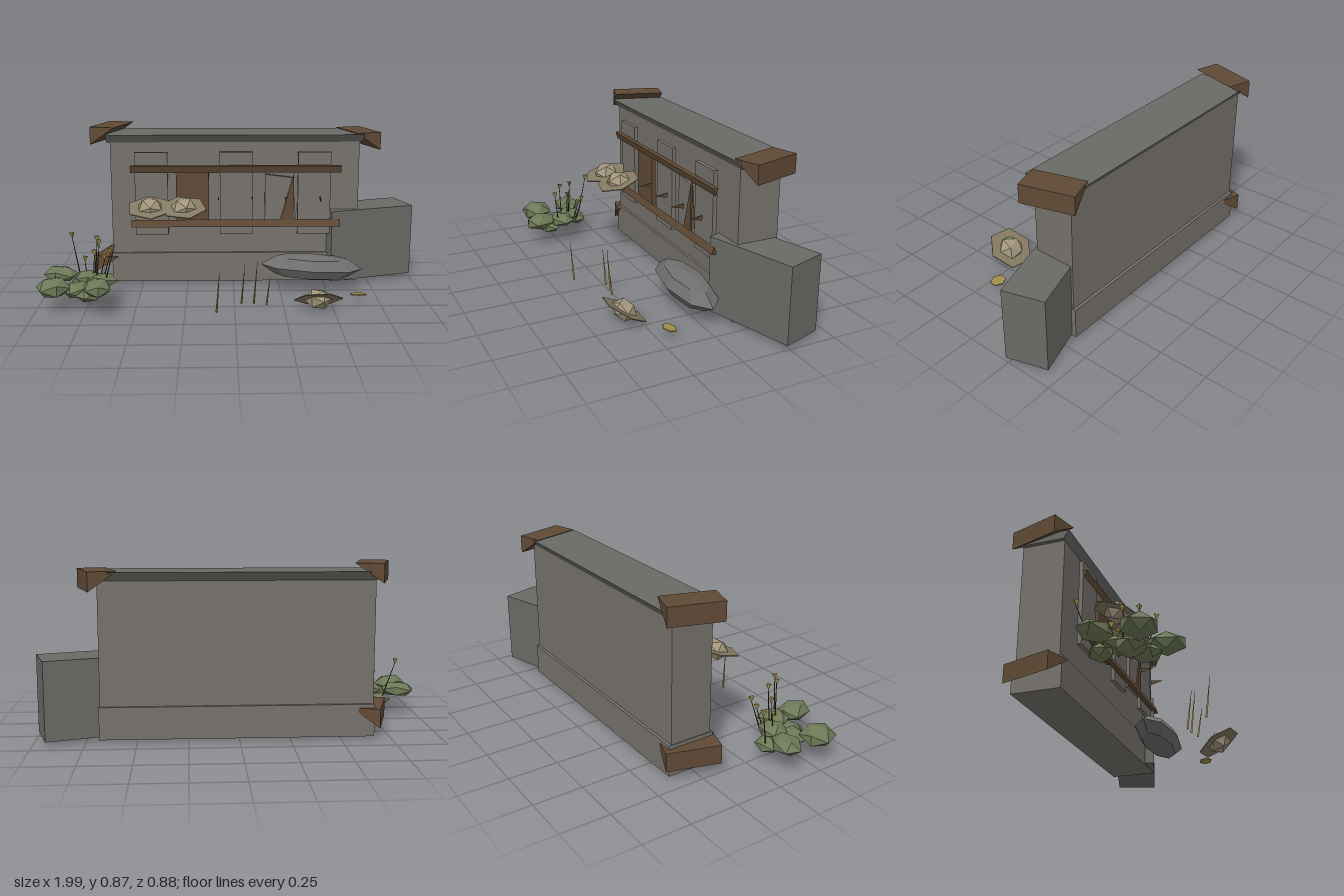
import * as THREE from 'three';

export function createModel() {
  const model = new THREE.Group();
  const mat = (name, color, extra = {}) => {
    const m = new THREE.MeshStandardMaterial({ color, flatShading: true, ...extra });
    m.name = name;
    return m;
  };
  const both = { side: THREE.DoubleSide };
  const wallGrey = mat('wall grey', 0x76726d);
  const stoneGrey = mat('stone grey', 0x6a6b65);
  const rockGrey = mat('rock grey', 0x706f6f);
  const woodBrown = mat('wood brown', 0x604a36, both);
  const strawTan = mat('straw tan', 0xa2967c);
  const brimTan = mat('brim tan', 0x857a62, both);
  const leafGreen = mat('leaf green', 0x6e7857);
  const stemGreen = mat('stem green', 0x3f4430);
  const flowerGold = mat('flower gold', 0xa08f4a, both);

  const add = (name, geo, material, pos = [0, 0, 0], parent = model) => {
    const mesh = new THREE.Mesh(geo, material);
    mesh.name = name;
    mesh.position.set(...pos);
    parent.add(mesh);
    return mesh;
  };
  // box given by its extents
  const box = (name, material, x0, x1, y0, y1, z0, z1) =>
    add(name, new THREE.BoxGeometry(x1 - x0, y1 - y0, z1 - z0), material,
      [(x0 + x1) / 2, (y0 + y1) / 2, (z0 + z1) / 2]);
  // prism with a 2D section, centred along its own z
  const prism = (points, length) => {
    const shape = new THREE.Shape(points.map(p => new THREE.Vector2(...p)));
    return new THREE.ExtrudeGeometry(shape, { depth: length, bevelEnabled: false })
      .translate(0, 0, -length / 2);
  };
  // thin tapering rod between two points
  const rod = (name, material, a, b, r0, r1) => {
    const from = new THREE.Vector3(...a), dir = new THREE.Vector3(...b).sub(from);
    const geo = new THREE.CylinderGeometry(r1, r0, dir.length(), 3);
    const mesh = add(name, geo, material, from.clone().addScaledVector(dir, 0.5).toArray());
    mesh.quaternion.setFromUnitVectors(new THREE.Vector3(0, 1, 0), dir.normalize());
    return mesh;
  };

  // wall, plinth, flared cap
  box('wall', wallGrey, -0.66, 0.68, 0.01, 0.79, -0.37, -0.15);
  box('plinth', wallGrey, -0.665, 0.685, 0.01, 0.172, -0.385, -0.137);
  const cap = add('wallCap', prism([[-0.11, 0], [0.11, 0], [0.14, 0.042], [-0.14, 0.042]], 1.38),
    stoneGrey, [0.01, 0.783, -0.26]);
  cap.rotation.y = Math.PI / 2;

  // angled side block
  const block = add('sideBlock', new THREE.BoxGeometry(0.49, 0.393, 0.215), stoneGrey, [0.734, 0.215, -0.263]);
  block.rotation.y = 0.307;

  // wedge ornaments on the corners
  const wedge = (side, x, y, z) => {
    const pts = [[-0.07, 0.048], [-0.07, -0.048], [0.07, 0.048]].map(p => [p[0] * -side, p[1]]);
    add('cornerWedge', prism(pts, 0.27), woodBrown, [x, y, z]).rotation.y = 0.3 * side;
  };
  wedge(-1, -0.66, 0.817, -0.267);
  wedge(1, 0.69, 0.783, -0.277);
  wedge(-1, -0.66, 0.105, -0.267);

  // panels in front of the wall
  for (const [x, y0, y1, m] of [[-0.44, 0.285, 0.735, wallGrey], [-0.22, 0.345, 0.625, woodBrown],
    [0.015, 0.285, 0.735, wallGrey], [0.435, 0.285, 0.735, wallGrey]])
    box('panel', m, x - 0.088, x + 0.088, y0, y1, -0.126, -0.104);
  add('brokenPanel', prism([[0.17, 0.35], [0.34, 0.35], [0.32, 0.595], [0.17, 0.615]], 0.02), wallGrey, [0, 0, -0.118]);
  add('splinter', prism([[0.25, 0.35], [0.325, 0.35], [0.325, 0.625]], 0.009), woodBrown, [0, 0, -0.098]);

  // three-sided rails
  const rail = (y, flip) => {
    const pts = [[-0.013, 0.019], [0.013, 0.019], [0, -0.019]].map(p => [p[0] * flip, p[1] * flip]);
    add('rail', prism(pts, 1.125), woodBrown, [0.013, y, -0.087]).rotation.y = Math.PI / 2;
  };
  rail(0.647, 1);
  rail(0.352, -1);

  // thorns pointing forward
  for (const x of [-0.08, 0.1, 0.28, 0.465]) {
    const thorn = add('thorn', new THREE.ConeGeometry(0.018, 0.075, 3), woodBrown, [x, 0.488, -0.042]);
    thorn.rotation.x = Math.PI / 2;
    thorn.scale.x = 0.25;
  }

  // straw hats: a round crown through a flat brim
  const hat = (x, y, z, tilt, spin) => {
    const g = new THREE.Group();
    g.name = 'strawHat';
    g.position.set(x, y, z);
    g.rotation.set(tilt, spin, 0);
    add('brim', new THREE.CylinderGeometry(0.122, 0.122, 0.005, 6), brimTan, [0, 0, 0], g);
    const crown = add('crown', new THREE.IcosahedronGeometry(0.07, 0), strawTan, [0, 0, 0], g);
    crown.scale.y = 0.78;
    model.add(g);
  };
  hat(-0.437, 0.468, 0.04, 0.28, 0.1);
  hat(-0.262, 0.468, 0.04, 0.28, 0.3);
  hat(0.42, 0.058, 0.317, -0.55, 0.4);

  // boulder
  const rock = add('boulder', new THREE.SphereGeometry(1, 8, 4), rockGrey, [0.42, 0.125, -0.022]);
  rock.scale.set(0.275, 0.071, 0.108);
  rock.rotation.z = -0.06;

  // fallen leaf
  const leaf = add('fallenLeaf', new THREE.CylinderGeometry(0.045, 0.045, 0.006, 6), flowerGold, [0.643, 0.037, 0.185]);
  leaf.scale.z = 0.75;
  leaf.rotation.x = -0.15;

  // bush made of flattened clumps: x, y, z, radii, turn
  for (const [x, y, z, rx, ry, rz, turn] of [
    [-0.9, 0.135, 0.115, 0.09, 0.04, 0.07, -0.3], [-0.905, 0.125, 0.31, 0.085, 0.05, 0.085, 0.4],
    [-0.68, 0.14, 0.36, 0.07, 0.045, 0.09, 0.2], [-0.67, 0.135, 0.235, 0.08, 0.035, 0.07, 0.5],
    [-0.79, 0.085, 0.1, 0.065, 0.035, 0.055, 0.2], [-0.8, 0.09, 0.24, 0.075, 0.04, 0.075, 0.7],
    [-0.75, 0.13, 0.16, 0.07, 0.034, 0.07, 0], [-0.73, 0.08, 0.29, 0.07, 0.033, 0.06, 0.9]]) {
    const clump = add('bushClump', new THREE.IcosahedronGeometry(1.06, 0), leafGreen, [x, y, z]);
    clump.scale.set(rx, ry, rz);
    clump.rotation.y = turn;
  }

  // flowers: leaning stems with downward cone heads
  for (const [x, y, z] of [[-0.605, 0.315, 0.29], [-0.68, 0.335, 0.235], [-0.7, 0.335, 0.165],
    [-0.715, 0.265, 0.175], [-0.77, 0.22, 0.14], [-0.64, 0.255, 0.115], [-0.67, 0.225, 0.125], [-0.855, 0.31, 0.005]]) {
    const base = [x * 0.6 - 0.74 * 0.4, 0.11, z * 0.65 + 0.065];
    rod('flowerStem', stemGreen, base, [x, y - 0.01, z], 0.004, 0.002);
    const head = add('flowerHead', new THREE.ConeGeometry(0.016, 0.032, 3), flowerGold, [x, y, z]);
    head.rotation.set(Math.PI, x * 9, 0);
  }

  // reeds
  for (const [x, z, h] of [[-0.082, 0.39, 0.235], [0.045, 0.26, 0.225], [0.108, 0.262, 0.245], [0.172, 0.28, 0.17]])
    rod('reed', flowerGold, [x - 0.01, 0.012, z - 0.012], [x + 0.006, h, z + 0.01], 0.006, 0.001);

  return model;
}
